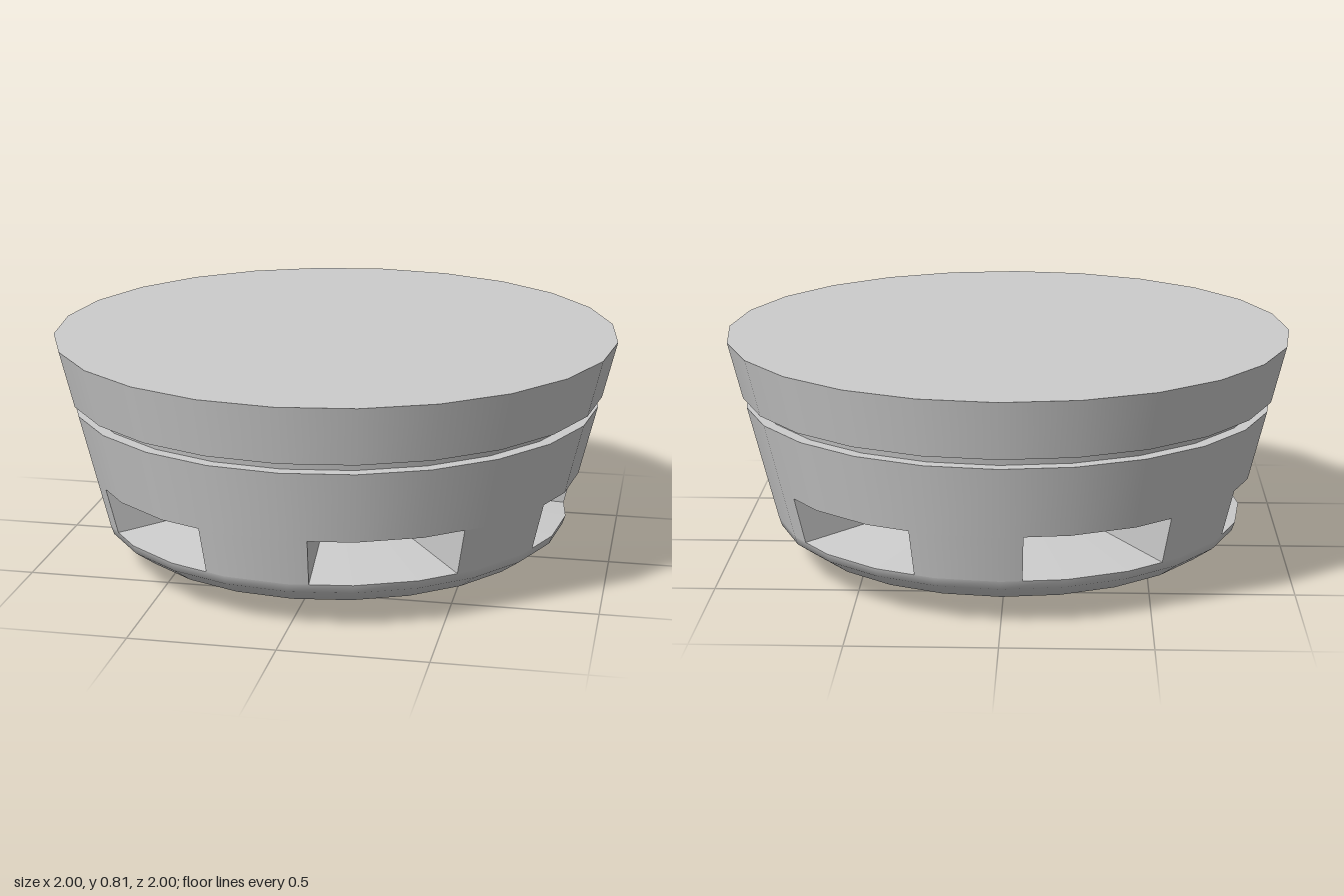
import * as THREE from 'three';

const STEP = 15; // the body has 24 sides
const APEX = [0, 0.25, 0]; // where all recesses meet
const SILL = 0.165, HEAD = 0.33;
const R_SILL = 0.84, R_HEAD = 0.88;
const rad = THREE.MathUtils.degToRad;

// Point on the 24-sided outline; angle in degrees from +z towards +x
function point(angle, r, y) {
  const off = ((angle % STEP) + STEP) % STEP;
  const k = off === 0 ? r : r * Math.cos(rad(STEP / 2)) / Math.cos(rad(off - STEP / 2));
  return [k * Math.sin(rad(angle)), y, k * Math.cos(rad(angle))];
}

// Angles from start to end, stopping at every corner of the outline
function anglesBetween(start, end) {
  const list = [start];
  for (let a = Math.floor(start / STEP + 1) * STEP; a < end; a += STEP) list.push(a);
  list.push(end);
  return list;
}

// Smooth sheet sweeping a [radius, y] profile (bottom to top) through angles
function sheet(profile, angles) {
  const pos = [], nor = [], idx = [];
  const n = angles.length;
  profile.forEach(([r, y], i) => {
    const a = profile[Math.max(i - 1, 0)];
    const b = profile[Math.min(i + 1, profile.length - 1)];
    const len = Math.hypot(b[0] - a[0], b[1] - a[1]);
    const nr = (b[1] - a[1]) / len, ny = (a[0] - b[0]) / len;
    for (const t of angles) {
      pos.push(...point(t, r, y));
      nor.push(nr * Math.sin(rad(t)), ny, nr * Math.cos(rad(t)));
    }
  });
  for (let i = 0; i < profile.length - 1; i++) {
    for (let j = 0; j < n - 1; j++) {
      const a = i * n + j, b = a + n;
      idx.push(a, a + 1, b + 1, a, b + 1, b);
    }
  }
  const g = new THREE.BufferGeometry();
  g.setAttribute('position', new THREE.Float32BufferAttribute(pos, 3));
  g.setAttribute('normal', new THREE.Float32BufferAttribute(nor, 3));
  g.setIndex(idx);
  return g;
}

// Pyramid-shaped recess: a fan from the window rim to the middle of the body
function recess(angles) {
  const rim = [
    ...angles.map(a => point(a, R_SILL, SILL)),
    ...angles.slice().reverse().map(a => point(a, R_HEAD, HEAD)),
  ];
  const pos = [];
  rim.forEach((p, i) => pos.push(...p, ...rim[(i + 1) % rim.length], ...APEX));
  const g = new THREE.BufferGeometry();
  g.setAttribute('position', new THREE.Float32BufferAttribute(pos, 3));
  g.computeVertexNormals();
  return g;
}

export function createModel() {
  const group = new THREE.Group();
  const smooth = new THREE.MeshStandardMaterial({ color: 0xcccccc, side: THREE.DoubleSide });
  const flat = new THREE.MeshStandardMaterial({ color: 0xcccccc, side: THREE.DoubleSide, flatShading: true });
  const add = (name, geometry, material = smooth) => {
    const mesh = new THREE.Mesh(geometry, material);
    mesh.name = name;
    group.add(mesh);
  };
  const around = anglesBetween(0, 360);

  // Closed top and upper rim
  add('topLid', sheet([[1, 0.815], [0, 0.815]], around));
  add('upperRim', sheet([[0.952, 0.615], [1, 0.815]], around));

  // Groove between rim and body
  add('grooveCeiling', sheet([[0.905, 0.615], [0.952, 0.615]], around));
  add('grooveWall', sheet([[0.897, 0.58], [0.905, 0.615]], around));
  add('grooveFloor', sheet([[0.94, 0.58], [0.897, 0.58]], around));

  // Body above the windows
  add('bodyWall', sheet([[R_HEAD, HEAD], [0.94, 0.58]], around));

  // Six windows with the piers between them
  for (let i = 0; i < 6; i++) {
    const start = 5 + i * 60;
    add('windowRecess', recess(anglesBetween(start, start + 35)), flat);
    add('pier', sheet([[R_SILL, SILL], [R_HEAD, HEAD]], anglesBetween(start + 35, start + 60)));
  }

  // Rounded underside with a slightly domed base
  add('roundedUnderside', sheet([[0.565, 0.02], [0.755, 0.08], [0.83, 0.135], [R_SILL, SILL]], around));
  add('base', sheet([[0, 0], [0.565, 0.02]], around));
  return group;
}
